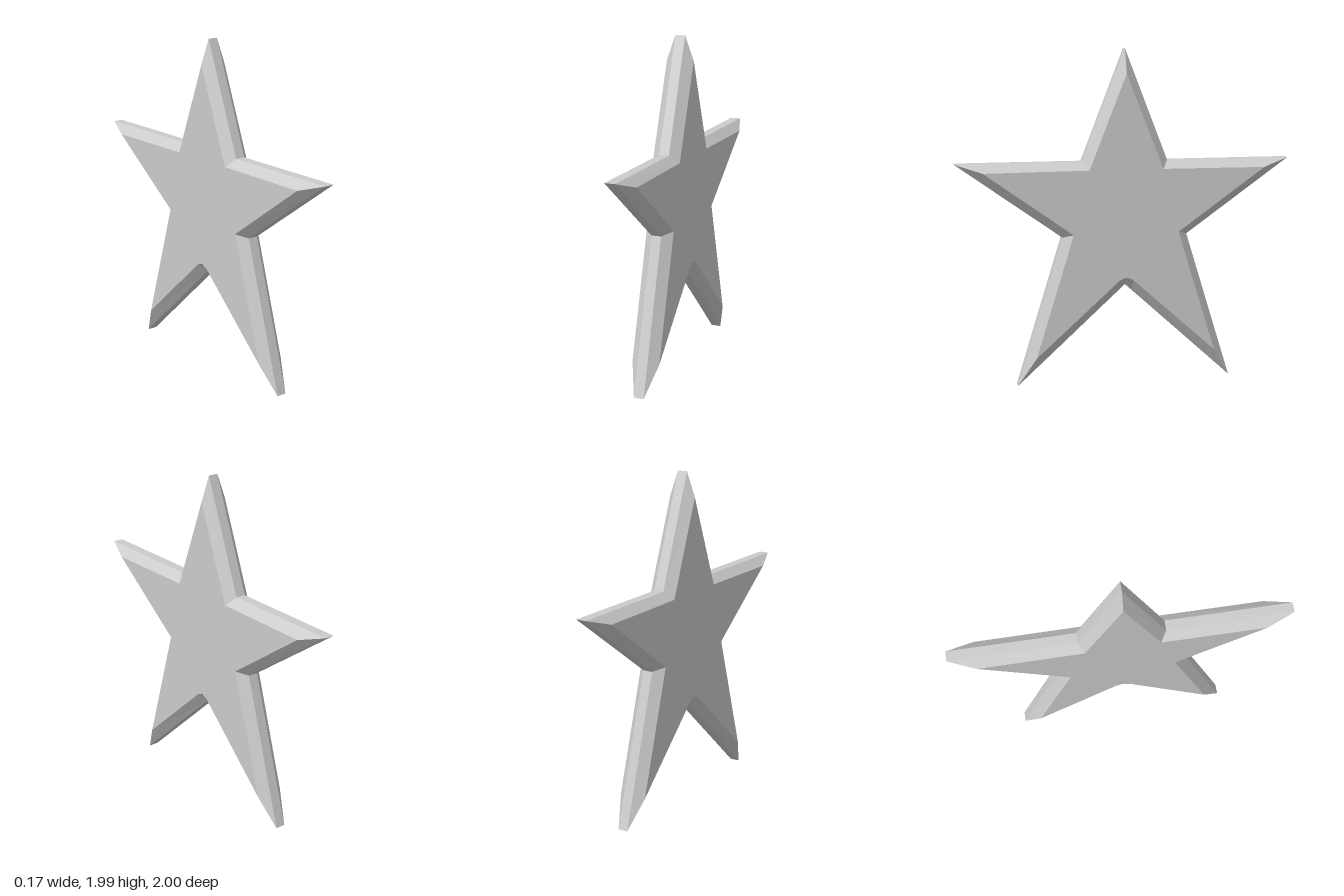
import * as THREE from 'three';

// Half outlines as [z, y], from the top tip down to the bottom notch
const RIM = [[0, 1.985], [0.255, 1.33], [1, 1.33], [0.375, 0.885], [0.647, 0], [0.04, 0.554], [0, 0.59]];
const FACE = [[0, 1.84], [0.22, 1.283], [0.84, 1.28], [0.315, 0.905], [0.54, 0.175], [0.04, 0.625], [0, 0.64]];

// Mirror a half outline into a closed loop, counter-clockwise seen from +x
const closeLoop = (half) => [
  ...half,
  ...half.slice(1, -1).reverse().map(([z, y]) => [-z, y]),
];

function starGeometry() {
  const rim = closeLoop(RIM);
  const face = closeLoop(FACE);
  const sections = [[0.083, face], [0.03, rim], [-0.03, rim], [-0.083, face]];
  const n = rim.length;
  const positions = sections.flatMap(([x, loop]) => loop.flatMap(([z, y]) => [x, y, z]));
  const index = [];

  // Bevel, flat rim, bevel
  for (let k = 0; k < sections.length - 1; k++) {
    for (let i = 0; i < n; i++) {
      const j = (i + 1) % n;
      const a = k * n + i, b = a + n, d = k * n + j, c = d + n;
      index.push(a, b, c, a, c, d);
    }
  }

  // Flat star faces on both sides
  const contour = face.map(([z, y]) => new THREE.Vector2(-z, y));
  const last = (sections.length - 1) * n;
  for (const [a, b, c] of THREE.ShapeUtils.triangulateShape(contour, [])) {
    index.push(a, b, c, last + a, last + c, last + b);
  }

  const geometry = new THREE.BufferGeometry();
  geometry.setAttribute('position', new THREE.Float32BufferAttribute(positions, 3));
  geometry.setIndex(index);
  const flat = geometry.toNonIndexed();
  flat.computeVertexNormals();
  return flat;
}

export function createModel() {
  const group = new THREE.Group();
  group.name = 'bevelledStar';
  const material = new THREE.MeshStandardMaterial({ color: 0xcccccc, flatShading: true });
  const star = new THREE.Mesh(starGeometry(), material);
  star.name = 'star';
  group.add(star);
  return group;
}
